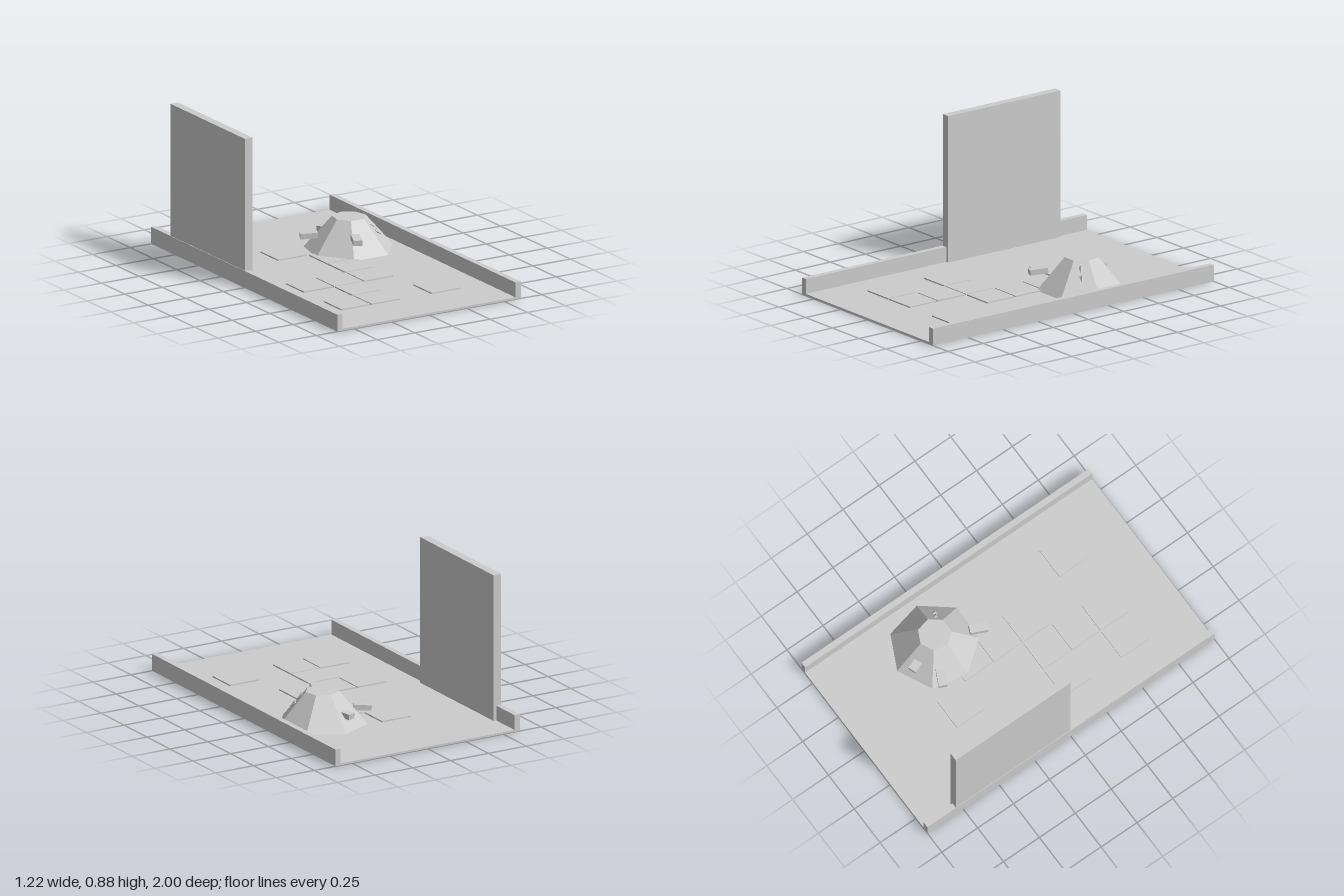
import * as THREE from 'three';

export function createModel() {
  const model = new THREE.Group();
  const grey = new THREE.MeshStandardMaterial({ color: 0xcccccc, flatShading: true });
  grey.name = 'plain grey';

  const add = (name, geometry, x, y, z, parent = model) => {
    const mesh = new THREE.Mesh(geometry, grey);
    mesh.name = name;
    mesh.position.set(x, y, z);
    parent.add(mesh);
    return mesh;
  };
  const box = (name, w, h, d, x, y, z) => add(name, new THREE.BoxGeometry(w, h, d), x, y, z);

  // Tray: thin floor with a raised kerb along each long side
  box('floor', 1.22, 0.012, 2, 0, 0.006, 0);
  for (const side of [-1, 1]) {
    box(side < 0 ? 'rightKerb' : 'leftKerb', 0.035, 0.1, 2, side * 0.5925, 0.05, 0);
  }

  // Upright wall panel rising out of the right kerb
  box('wallPanel', 0.05, 0.868, 0.8, -0.582, 0.446, -0.4);

  // Square paving tiles on a 0.2 grid
  const tiles = [
    [-0.3, 0.2], [-0.1, 0.2], [0.1, 0.2], [-0.1, 0.4], [-0.3, 0.6],
    [-0.1, 0.6], [0.3, 0.6], [0.1, 0], [0.1, -0.2], [-0.1, -0.4],
  ];
  for (const [x, z] of tiles) box('tile', 0.192, 0.008, 0.192, x, 0.016, z);

  // Seven-sided hill with a flat top
  const hill = new THREE.Group();
  hill.name = 'hill';
  hill.position.set(0.28, 0, -0.31);
  model.add(hill);
  add('hillBody', new THREE.CylinderGeometry(0.098, 0.262, 0.19, 7, 1, false, Math.PI), 0, 0.105, 0, hill);

  // Blocks sticking radially out of the slopes: x, y, z from the hill centre, length, pitch
  const blocks = [
    [-0.207, 0.096, -0.1, 0.1, 0.05],
    [-0.097, 0.135, 0.235, 0.105, 0.08],
    [-0.06, 0.093, -0.175, 0.07, 0.1],
  ];
  for (const [x, y, z, length, pitch] of blocks) {
    const block = add('block', new THREE.BoxGeometry(0.05, 0.032, length), x, y, z, hill);
    block.rotation.set(pitch, Math.atan2(x, z), 0, 'YXZ');
  }

  // Pair of small spikes on the front left slope
  for (const [x, y, z] of [[0.1, 0.155, 0.08], [0.135, 0.11, 0.1]]) {
    const spike = add('spike', new THREE.ConeGeometry(0.016, 0.045, 4), x, y, z, hill);
    spike.rotation.set(2.2, Math.atan2(x, z), 0, 'YXZ');
  }

  return model;
}
